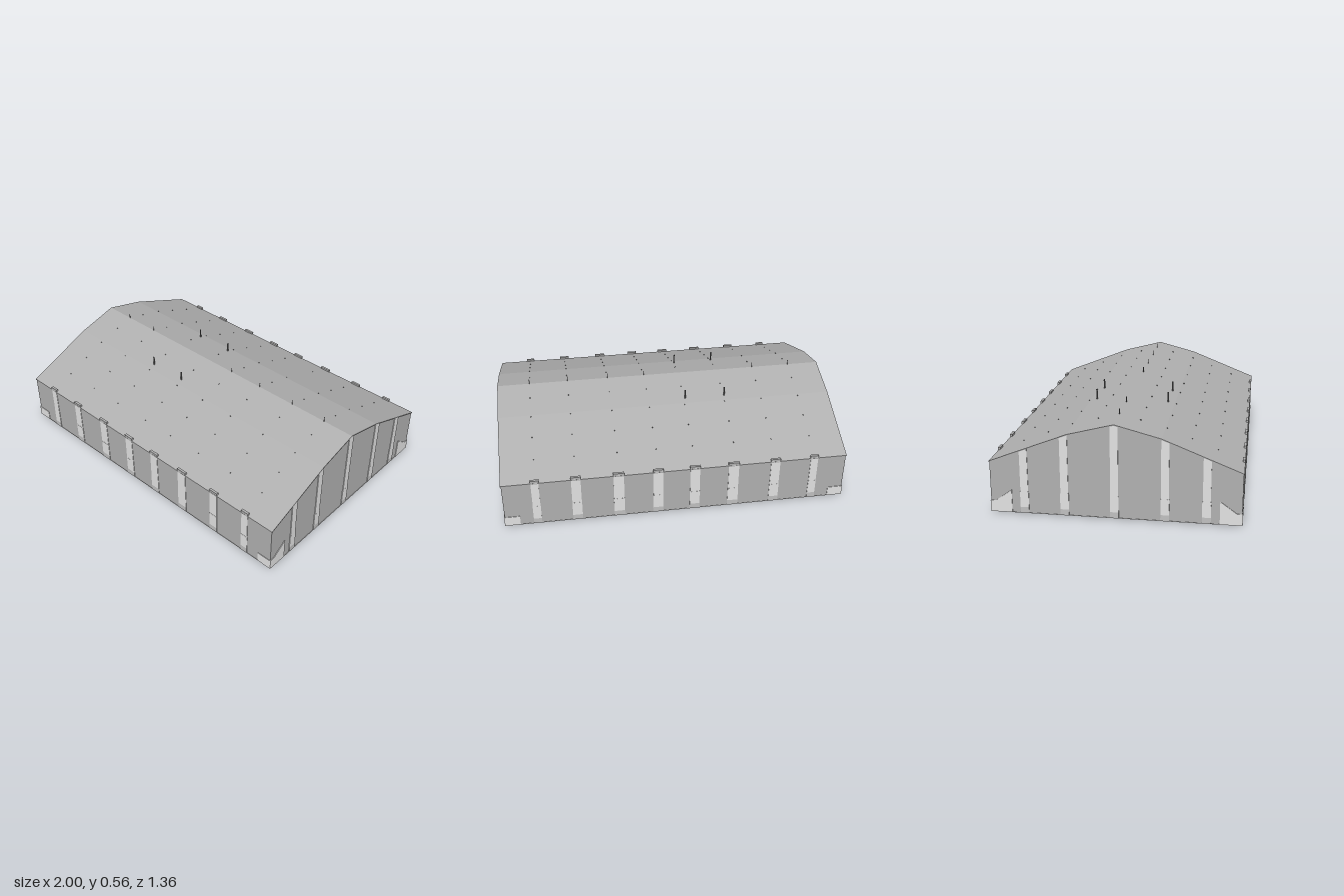
import * as THREE from 'three';

const mat = (name, color) => {
  const m = new THREE.MeshStandardMaterial({ color });
  m.name = name;
  return m;
};

export function createModel() {
  const wall = mat('wall grey', 0xb0b0b0);
  const light = mat('pilaster light grey', 0xe2e2e2);
  const foot = mat('footing grey', 0xbfbfbf);
  const metal = mat('metal grey', 0x707070);
  const hall = new THREE.Group();
  hall.name = 'hall';

  const add = (name, geo, material, parent = hall) => {
    const m = new THREE.Mesh(geo, material);
    m.name = name;
    parent.add(m);
    return m;
  };
  // Box given by its limits on each axis
  const box = (name, x0, x1, y0, y1, z0, z1, material, parent) =>
    add(name, new THREE.BoxGeometry(x1 - x0, y1 - y0, z1 - z0), material, parent)
      .position.set((x0 + x1) / 2, (y0 + y1) / 2, (z0 + z1) / 2);
  // Outline of [z, y] points extruded along x from x0 to x1
  const extrudeX = (name, pts, x0, x1, material, parent) => {
    const shape = new THREE.Shape(pts.map(([z, y]) => new THREE.Vector2(-z, y)));
    const geo = new THREE.ExtrudeGeometry(shape, { depth: x1 - x0, bevelEnabled: false });
    geo.rotateY(Math.PI / 2).translate(x0, 0, 0);
    return add(name, geo, material, parent);
  };

  // Roof height over the half width: shallow top, steeper lower slope
  const roofY = (z) => {
    const a = Math.abs(z);
    return a < 0.25 ? 0.53 - a * 0.26 : 0.465 - (a - 0.25) * 0.395;
  };

  // Body, pale floor slab and roof skin
  const H = 0.677, X = 0.996, B = 0.007;
  const line = [-H, -0.25, 0, 0.25, H];
  extrudeX('body', [[-H, B], ...line.map((z) => [z, roofY(z) - 0.004]), [H, B]], -X, X, wall);
  box('floor', -0.999, 0.999, B - 0.002, B, -0.679, 0.679, light, hall);
  const edge = [-0.68, -0.25, 0, 0.25, 0.68];
  extrudeX('roof', [
    ...edge.map((z) => [z, roofY(z)]),
    ...edge.slice().reverse().map((z) => [z, roofY(z) - 0.006]),
  ], -1, 1, wall);

  // Long sides
  const bays = [[-0.81, 0.044], [-0.58, 0.054], [-0.337, 0.06], [-0.11, 0.056],
    [0.104, 0.056], [0.33, 0.06], [0.576, 0.054], [0.807, 0.044]];
  for (const s of [1, -1]) {
    const side = new THREE.Group();
    side.name = s > 0 ? 'frontSide' : 'backSide';
    side.rotation.y = s > 0 ? 0 : Math.PI;
    hall.add(side);
    for (const [x, w] of bays) {
      const h = w / 2;
      box('pilaster', x - h, x + h, 0.13, 0.298, 0.67, 0.6795, light, side);
      box('pilasterLower', x - h - 0.001, x + h + 0.001, 0.04, 0.13, 0.67, 0.68, light, side);
      box('pilasterFoot', x - h - 0.001, x + h + 0.001, B, 0.04, 0.67, 0.68, foot, side);
      box('pilasterCap', x - h - 0.002, x + h + 0.002, 0.298, 0.312, 0.666, 0.6805, wall, side);
    }
    // Pale corner plates
    for (const e of [-1, 1]) {
      box('cornerPlate', Math.min(e * 0.91, e * 0.999), Math.max(e * 0.91, e * 0.999),
        B, 0.067, 0.672, 0.68, light, side);
    }
  }

  // Gable ends
  for (const s of [1, -1]) {
    const gable = new THREE.Group();
    gable.name = s > 0 ? 'leftGable' : 'rightGable';
    gable.rotation.y = s > 0 ? 0 : Math.PI;
    hall.add(gable);
    for (const z of [-0.49, -0.27, 0, 0.27, 0.49]) {
      const h = 0.021, l = 0.0235;
      const top = [z - h, z, z + h].map((a) => [a, roofY(a) - 0.003]);
      extrudeX('gablePilaster', [[z - h, 0.13], ...top, [z + h, 0.13]], 0.99, 0.9998, light, gable);
      box('gablePilasterLower', 0.99, 1, 0.04, 0.13, z - l, z + l, light, gable);
      box('gablePilasterFoot', 0.99, 1, B, 0.04, z - l, z + l, foot, gable);
    }
    // Sloped corner plates
    for (const e of [-1, 1]) {
      extrudeX('gableCornerPlate',
        [[0.68, B], [0.68, 0.07], [0.65, 0.07], [0.56, 0.135], [0.56, B]].map(([z, y]) => [e * z, y]),
        0.992, 0.9998, light, gable);
    }
  }

  // Rods running through the hall
  const rod = new THREE.CylinderGeometry(0.0045, 0.0045, 0.535, 8, 1, true);
  for (const x of [-0.36, -0.12]) {
    for (const z of [-0.212, 0.212]) add('rod', rod, metal).position.set(x, 0.2675, z);
  }

  // Ridge spikes and rows of small roof studs, open at the ends
  const spike = new THREE.CylinderGeometry(0.002, 0.002, 0.04, 6, 1, true);
  const stud = new THREE.CylinderGeometry(0.003, 0.003, 0.01, 6, 1, true);
  for (const x of [-0.81, -0.58, -0.355, -0.11, 0.104, 0.33, 0.576, 0.807]) {
    if (x < -0.5 || x > 0) add('ridgeSpike', spike, metal).position.set(x, 0.541, 0);
    for (const z of [0.115, 0.26, 0.395, 0.535]) {
      for (const s of [-1, 1]) add('roofStud', stud, metal).position.set(x, roofY(z) - 0.001, s * z);
    }
  }
  return hall;
}
